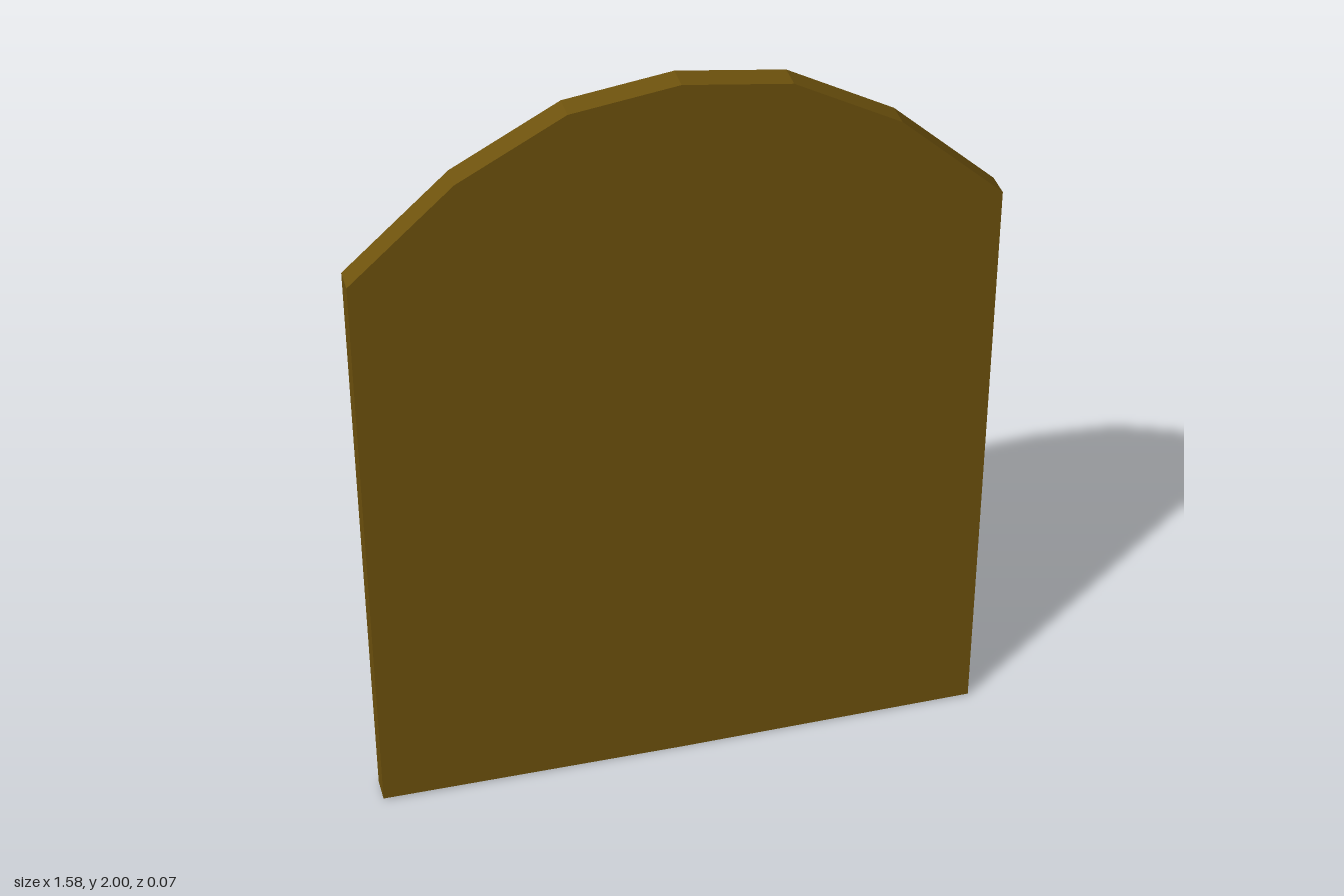
import * as THREE from 'three';

const wood = new THREE.MeshStandardMaterial({ name: 'darkWood', color: 0x6f530d });
const glass = new THREE.MeshStandardMaterial({ name: 'greyGlass', color: 0x98a1a7 });

// Arched outline, counter-clockwise from the bottom centre
const half = [[0.79, 0.005], [0.79, 1.585], [0.53, 1.82], [0.265, 1.963]];
const outline = [
  [0, 0], ...half, [0, 2],
  ...half.map(([x, y]) => [-x, y]).reverse(),
].map(([x, y]) => new THREE.Vector2(x, y));

// Move every edge inwards by d, with mitred corners
function inset(points, d) {
  const n = points.length;
  const normal = (a, b) => new THREE.Vector2(a.y - b.y, b.x - a.x).normalize();
  return points.map((p, i) => {
    const n1 = normal(points[(i + n - 1) % n], p);
    const n2 = normal(p, points[(i + 1) % n]);
    return n1.clone().add(n2).multiplyScalar(d / (1 + n1.dot(n2))).add(p);
  });
}

function slab(name, shape, z0, z1, material) {
  const geometry = new THREE.ExtrudeGeometry(shape, { depth: z1 - z0, bevelEnabled: false });
  geometry.translate(0, 0, z0);
  const mesh = new THREE.Mesh(geometry, material);
  mesh.name = name;
  return mesh;
}

export function createModel() {
  const group = new THREE.Group();
  group.name = 'archedMirror';
  const inner = inset(outline, 0.042);

  // Solid board covering the front
  group.add(slab('board', new THREE.Shape(outline), -0.008, 0.033, wood));

  // Raised rim around the recess on the rear side
  const rim = new THREE.Shape(outline);
  rim.holes.push(new THREE.Path(inner));
  group.add(slab('rim', rim, -0.033, -0.008, wood));

  // Thin pane at the bottom of the recess
  group.add(slab('pane', new THREE.Shape(inner), -0.011, -0.008, glass));
  return group;
}
